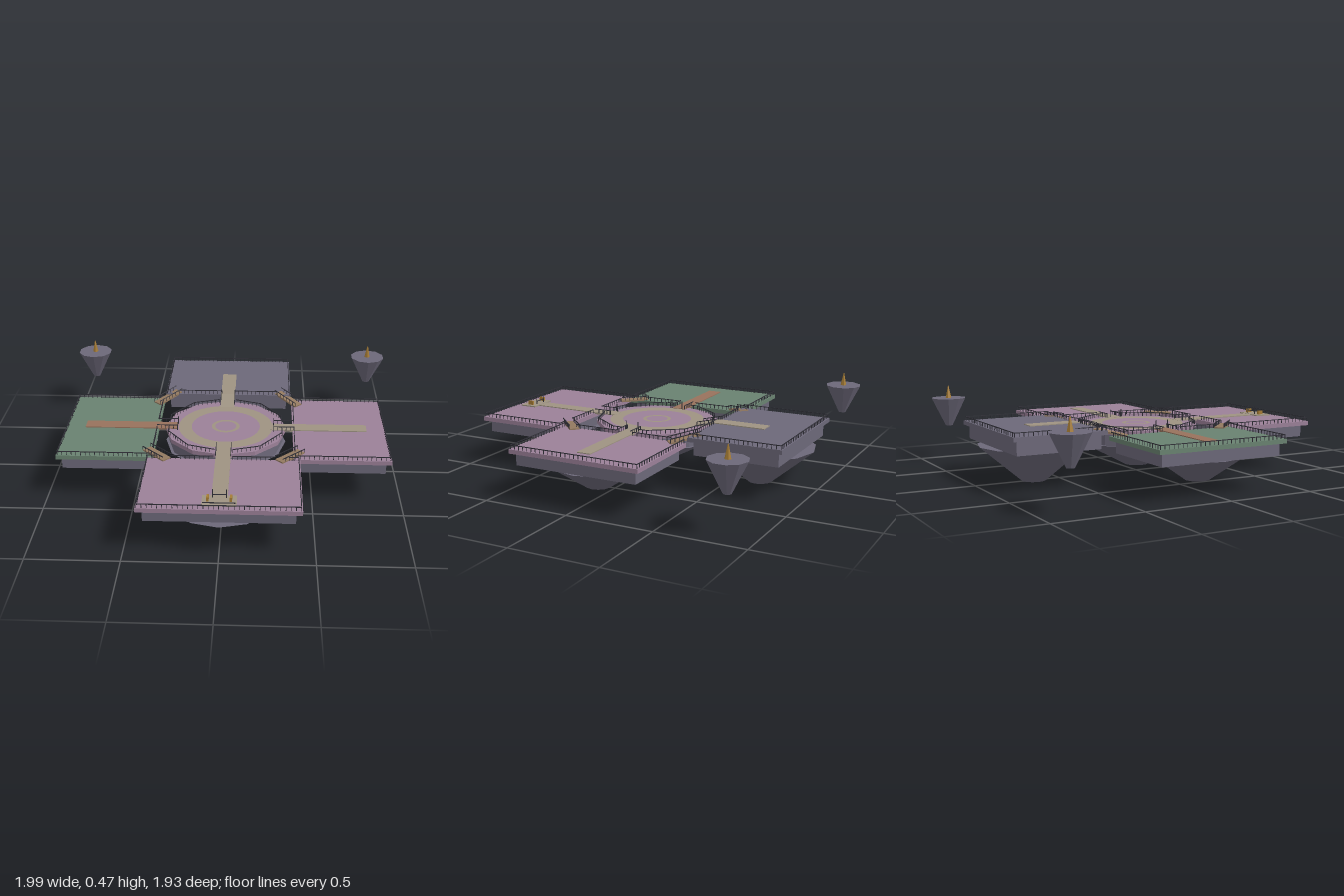
import * as THREE from 'three';
import { mergeGeometries } from 'three/addons/utils/BufferGeometryUtils.js';

export function createModel() {
  const root = new THREE.Group();
  root.name = 'floatingIslands';
  const mat = (name, color) => {
    const m = new THREE.MeshStandardMaterial({ color });
    m.name = name;
    return m;
  };
  const slate = mat('slate stone', 0x6c6879);
  const mauve = mat('mauve paving', 0x9b8098);
  const green = mat('green lawn', 0x698270);
  const tan = mat('tan path', 0x9e9382);
  const rust = mat('rust path', 0x98725c);
  const brown = mat('brown bridge', 0x93795f);
  const gold = mat('gold', 0xa67c35);
  const dark = mat('dark iron', 0x2f2e36);

  const add = (name, geo, material, x = 0, y = 0, z = 0, parent = root) => {
    const m = new THREE.Mesh(geo, material);
    m.name = name;
    m.position.set(x, y, z);
    parent.add(m);
    return m;
  };
  const box = (name, material, x0, x1, y0, y1, z0, z1, parent = root) =>
    add(name, new THREE.BoxGeometry(x1 - x0, y1 - y0, z1 - z0), material,
      (x0 + x1) / 2, (y0 + y1) / 2, (z0 + z1) / 2, parent);
  // Faceted frustum standing between two heights
  const frustum = (name, material, rTop, rBottom, y0, y1, sides, x, z, parent = root) => {
    const g = new THREE.CylinderGeometry(rTop, rBottom, y1 - y0, sides).toNonIndexed();
    g.computeVertexNormals();
    return add(name, g, material, x, (y0 + y1) / 2, z, parent);
  };

  // A beam of square section between two points
  const beam = (a, b, t) => {
    const d = b.clone().sub(a);
    const g = new THREE.BoxGeometry(t, t, d.length());
    g.applyQuaternion(new THREE.Quaternion().setFromUnitVectors(
      new THREE.Vector3(0, 0, 1), d.normalize()));
    const c = a.clone().add(b).multiplyScalar(0.5);
    return g.translate(c.x, c.y, c.z);
  };
  // Railings stay open wherever a bridge or path crosses them
  const isGap = (p) => {
    const x = Math.abs(p.x), z = Math.abs(p.z);
    if (Math.hypot(x, z) < 0.5 && Math.min(x, z) < 0.045) return true;
    return x > 0.25 && z > 0.25 && x < 0.5 && z < 0.5 && Math.abs(x + z - 0.73) < 0.035;
  };
  const railing = (name, points, closed, parent = root, open = isGap) => {
    const parts = [];
    const count = closed ? points.length : points.length - 1;
    for (let i = 0; i < count; i++) {
      const a = points[i], b = points[(i + 1) % points.length];
      const n = Math.max(2, Math.round(a.distanceTo(b) / 0.026));
      for (let k = 0; k < n; k++) {
        const p = a.clone().lerp(b, k / n), q = a.clone().lerp(b, (k + 1) / n);
        if (open(p.clone().lerp(q, 0.5))) continue;
        const top = p.clone().setY(p.y + 0.022), topEnd = q.clone().setY(q.y + 0.022);
        parts.push(beam(p, top, 0.003), beam(top, topEnd, 0.004));
      }
    }
    add(name, mergeGeometries(parts), dark, 0, 0, 0, parent);
  };

  // Four square islands: deck, stone body, tapering rock and railing
  const island = (name, paving, [x0, x1, z0, z1], top, inset, rock) => {
    const g = new THREE.Group();
    g.name = name;
    root.add(g);
    box('deck', paving, x0, x1, top - 0.024, top, z0, z1, g);
    box('body', slate, x0 + inset, x1 - inset, rock.y1, top - 0.024, z0 + inset, z1 - inset, g);
    frustum('rock', slate, rock.r, 0.068, rock.y0, rock.y1, 12, (x0 + x1) / 2, (z0 + z1) / 2, g);
    const e = 0.008;
    railing('railing', [[x0 + e, z0 + e], [x1 - e, z0 + e], [x1 - e, z1 - e], [x0 + e, z1 - e]]
      .map(([x, z]) => new THREE.Vector3(x, top, z)), true, g);
  };
  island('frontIsland', mauve, [-0.425, 0.425, 0.4, 0.94], 0.28, 0.032, { r: 0.288, y0: 0.05, y1: 0.188 });
  island('leftIsland', mauve, [0.39, 0.93, -0.38, 0.395], 0.28, 0.028, { r: 0.26, y0: 0.058, y1: 0.188 });
  island('rightIsland', green, [-0.93, -0.39, -0.38, 0.395], 0.28, 0.028, { r: 0.26, y0: 0.055, y1: 0.188 });
  island('backIsland', slate, [-0.385, 0.385, -0.925, -0.385], 0.31, 0.026, { r: 0.313, y0: 0, y1: 0.207 });

  // Central round plaza
  const plaza = new THREE.Group();
  plaza.name = 'centralPlaza';
  root.add(plaza);
  frustum('deck', mauve, 0.352, 0.352, 0.256, 0.28, 12, 0, 0, plaza);
  frustum('body', slate, 0.335, 0.335, 0.19, 0.256, 12, 0, 0, plaza);
  frustum('rock', slate, 0.352, 0.07, 0.04, 0.19, 12, 0, 0, plaza);
  for (const [name, r0, r1] of [['pavedRing', 0.2, 0.275], ['innerRing', 0.062, 0.082]]) {
    add(name, new THREE.RingGeometry(r0, r1, 40).rotateX(-Math.PI / 2), tan, 0, 0.284, 0, plaza);
  }
  const decagon = Array.from({ length: 10 }, (_, i) => {
    const a = i * Math.PI / 5;
    return new THREE.Vector3(0.345 * Math.sin(a), 0.28, 0.345 * Math.cos(a));
  });
  railing('railing', decagon, true, plaza);

  // Straight paths that also bridge the gaps to the islands
  box('leftPath', tan, 0.26, 0.82, 0.274, 0.285, -0.04, 0.04);
  box('rightPath', rust, -0.82, -0.28, 0.274, 0.285, -0.04, 0.04);
  box('frontPath', tan, -0.042, 0.042, 0.274, 0.285, 0.26, 0.82);
  box('backPath', tan, -0.043, 0.043, 0.305, 0.315, -0.69, -0.385);
  const never = () => false;
  const V = (x, y, z) => new THREE.Vector3(x, y, z);
  const ramp = box('backRamp', tan, -0.043, 0.043, 0.29, 0.3, -0.39, -0.26);
  ramp.rotation.x = Math.atan2(0.03, 0.125);
  for (const s of [-1, 1]) {
    railing('backRampRail', [V(s * 0.042, 0.284, -0.28), V(s * 0.042, 0.314, -0.4)], false, root, never);
    railing('frontBridgeRail', [V(s * 0.042, 0.284, 0.29), V(s * 0.042, 0.284, 0.4)], false, root, never);
    for (const t of [-1, 1]) {
      railing('sideBridgeRail', [V(s * 0.28, 0.284, t * 0.042), V(s * 0.4, 0.284, t * 0.042)],
        false, root, never);
    }
  }

  // Diagonal bridges between neighbouring islands
  for (const sx of [-1, 1]) for (const sz of [-1, 1]) {
    const rise = sz < 0 ? 0.03 : 0;
    const a = V(sx * 0.432, 0.282, sz * 0.298), b = V(sx * 0.308, 0.282 + rise, sz * 0.422);
    const bridge = new THREE.Group();
    bridge.name = 'diagonalBridge';
    root.add(bridge);
    const plank = add('planks', new THREE.BoxGeometry(0.056, 0.01, a.distanceTo(b)), brown, 0, 0, 0, bridge);
    plank.position.copy(a).lerp(b, 0.5);
    plank.lookAt(b);
    for (const t of [-1, 1]) {
      const off = V(sx * 0.02 * t, 0.004, sz * 0.02 * t);
      railing('rail', [a.clone().add(off), b.clone().add(off)], false, bridge, never);
    }
  }

  // Arrival terrace with gate and lamps at the front
  box('terrace', tan, -0.09, 0.09, 0.278, 0.287, 0.805, 0.905);
  box('gateBar', dark, -0.038, 0.038, 0.303, 0.307, 0.825, 0.829);
  box('terraceRail', dark, -0.085, 0.085, 0.298, 0.302, 0.9, 0.904);
  for (const s of [-1, 1]) {
    box('gatePost', dark, s * 0.036 - 0.002, s * 0.036 + 0.002, 0.285, 0.335, 0.825, 0.829);
    box('terraceLamp', gold, s * 0.06 - 0.006, s * 0.06 + 0.006, 0.285, 0.31, 0.835, 0.868);
    for (const z of [-0.025, 0.05, 0.295]) {
      const x = z > 0.2 ? 0.042 : 0.28;
      box('lampPost', dark, s * x - 0.002, s * x + 0.002, 0.28, 0.33, z - 0.002, z + 0.002);
    }
  }

  // Two small floating rocks with golden spires
  for (const [x, top] of [[-0.893, 0.4], [0.893, 0.389]]) {
    const g = new THREE.Group();
    g.name = 'spireRock';
    root.add(g);
    frustum('rock', slate, 0.107, 0.022, top - 0.172, top, 10, x, -0.845, g);
    frustum('spire', gold, 0.002, 0.018, top, top + 0.075, 6, x, -0.845, g);
  }
  return root;
}
